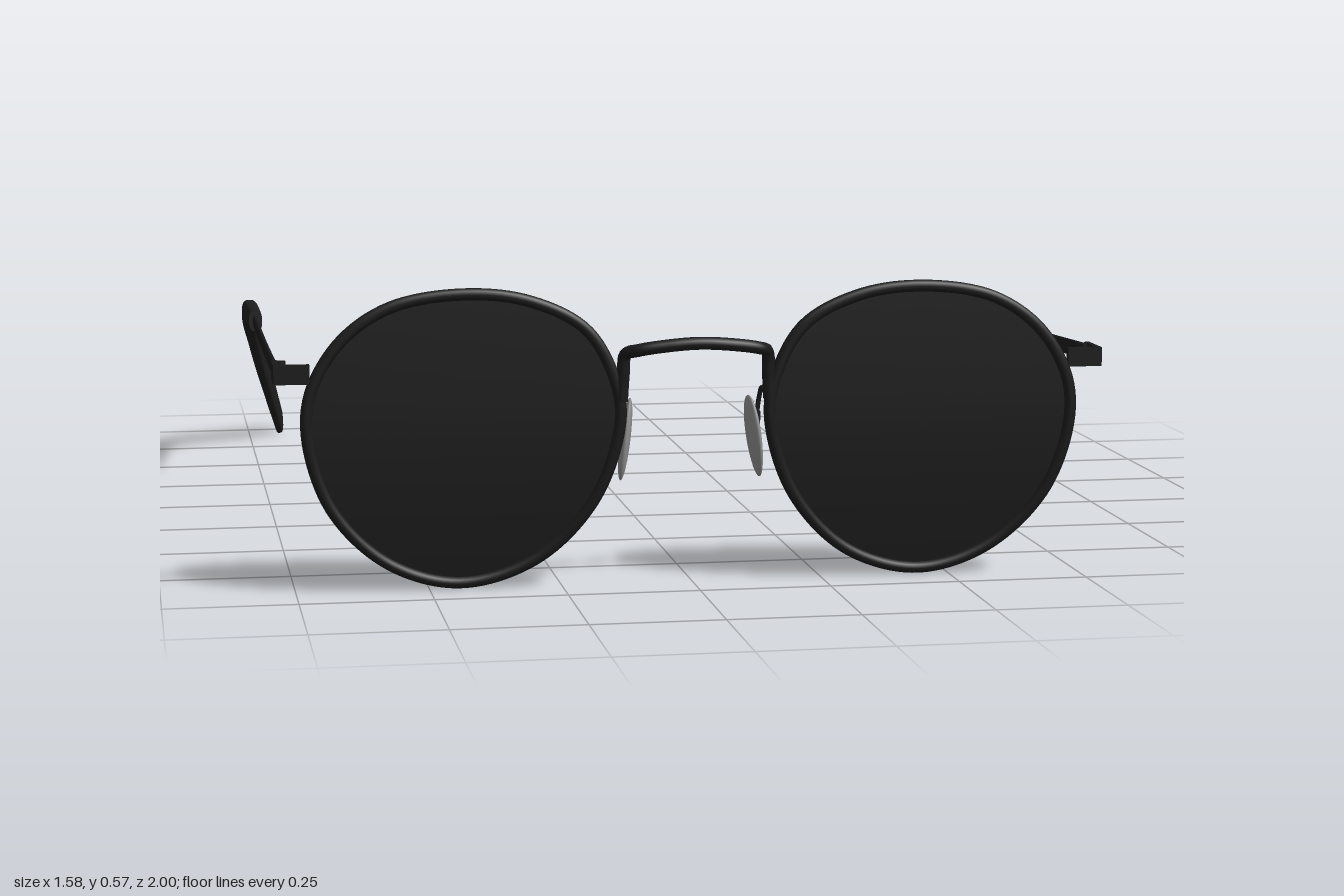
import * as THREE from 'three';

const frameMat = new THREE.MeshStandardMaterial({ color: 0x1a1a1a });
frameMat.name = 'frame black';
const lensMat = new THREE.MeshStandardMaterial({ color: 0x1c1c1c, side: THREE.DoubleSide });
lensMat.name = 'lens smoke';
const tipMat = new THREE.MeshStandardMaterial({ color: 0x1e1e1e });
tipMat.name = 'tip black';
const padMat = new THREE.MeshStandardMaterial({ color: 0x8c8c8c });
padMat.name = 'pad grey';

const V = (x, y, z) => new THREE.Vector3(x, y, z);

// Depth of the lens surface: upright at the top, curling back below
const lensZ = (y) => 0.943 - 0.035 * (y < 0.36 ? ((0.36 - y) / 0.35) ** 2 : ((y - 0.36) / 0.6) ** 2 * 0.6);

// Centre line of the rim, left lens
const rimCurve = new THREE.CatmullRomCurve3([
  [0.44, 0.566], [0.575, 0.543], [0.665, 0.482], [0.72, 0.39], [0.727, 0.3], [0.682, 0.165], [0.575, 0.058],
  [0.44, 0.018], [0.297, 0.062], [0.19, 0.175], [0.143, 0.32], [0.153, 0.4], [0.207, 0.496], [0.313, 0.551],
].map(([x, y]) => V(x, y, lensZ(y))), true);

// Lens: rings shrunk towards the centre, laid on the curved surface
function lensGeometry() {
  const rings = 12, n = 80, cx = 0.44, cy = 0.3, pos = [], idx = [];
  const outline = rimCurve.getSpacedPoints(n);
  for (let r = 0; r <= rings; r++) {
    for (let j = 0; j < n; j++) {
      const k = r / rings;
      const y = cy + (outline[j].y - cy) * k;
      pos.push(cx + (outline[j].x - cx) * k, y, lensZ(y));
      if (r === rings) continue;
      const a = r * n + j, b = r * n + (j + 1) % n;
      if (r > 0) idx.push(a, b, a + n);
      idx.push(b, b + n, a + n);
    }
  }
  // The outline runs clockwise, so flip every face to the front
  for (let i = 0; i < idx.length; i += 3) [idx[i + 1], idx[i + 2]] = [idx[i + 2], idx[i + 1]];
  const geo = new THREE.BufferGeometry();
  geo.setAttribute('position', new THREE.Float32BufferAttribute(pos, 3));
  geo.setIndex(idx);
  geo.computeVertexNormals();
  return geo;
}

// Sweep a rounded section along stations [x, y, z, width, height] running backwards
function sweep(stations, steps) {
  const n = 24, pos = [], idx = [];
  const path = new THREE.CatmullRomCurve3(stations.map((s) => V(s[0], s[1], s[2])));
  const size = new THREE.CatmullRomCurve3(stations.map((s) => V(s[3], s[4], 0)));
  const round = (c) => Math.sign(c) * Math.abs(c) ** 0.65;
  const ringAt = (t) => {
    const p = path.getPoint(t), d = path.getTangent(t), wh = size.getPoint(t);
    const side = V(1, 0, 0).addScaledVector(d, -d.x).normalize();
    const up = side.clone().cross(d);
    for (let j = 0; j < n; j++) {
      const a = (j / n) * Math.PI * 2;
      const q = p.clone().addScaledVector(side, round(Math.cos(a)) * wh.x / 2)
        .addScaledVector(up, round(Math.sin(a)) * wh.y / 2);
      pos.push(q.x, q.y, q.z);
    }
    return p;
  };
  for (let i = 0; i <= steps; i++) {
    ringAt(i / steps);
    if (i === steps) break;
    for (let j = 0; j < n; j++) {
      const a = i * n + j, b = i * n + (j + 1) % n;
      idx.push(a, a + n, b, b, a + n, b + n);
    }
  }
  // End caps with their own vertices
  for (const t of [0, 1]) {
    const base = pos.length / 3;
    const c = ringAt(t);
    pos.push(c.x, c.y, c.z);
    for (let j = 0; j < n; j++) {
      const a = base + j, b = base + (j + 1) % n;
      idx.push(base + n, t ? b : a, t ? a : b);
    }
  }
  const geo = new THREE.BufferGeometry();
  geo.setAttribute('position', new THREE.Float32BufferAttribute(pos, 3));
  geo.setIndex(idx);
  geo.computeVertexNormals();
  return geo;
}

// Mirror a geometry across x, keeping its faces outward
function mirrored(geo) {
  const g = geo.clone().scale(-1, 1, 1), ix = g.index.array;
  for (let i = 0; i < ix.length; i += 3) [ix[i + 1], ix[i + 2]] = [ix[i + 2], ix[i + 1]];
  return g;
}

export function createModel() {
  const model = new THREE.Group();
  model.name = 'sunglasses';
  const add = (name, geo, mat) => {
    const mesh = new THREE.Mesh(geo, mat);
    mesh.name = name;
    model.add(mesh);
  };
  const pair = (name, geo, mat) => {
    add('left' + name, geo, mat);
    add('right' + name, mirrored(geo), mat);
  };
  const box = (w, h, d, x, y, z) => new THREE.BoxGeometry(w, h, d).translate(x, y, z);

  // Lenses and rims
  pair('Lens', lensGeometry(), lensMat);
  pair('Rim', new THREE.TubeGeometry(rimCurve, 120, 0.0115, 10, true), frameMat);

  // Bridge, bowed up and forward, with legs running down the rims
  const half = [[0.141, 0.36, 0.945], [0.138, 0.41, 0.947], [0.135, 0.449, 0.953], [0.115, 0.459, 0.974], [0.06, 0.468, 0.985]];
  const bridge = new THREE.CatmullRomCurve3([
    ...half.map(([x, y, z]) => V(-x, y, z)), V(0, 0.472, 0.988), ...half.reverse().map(([x, y, z]) => V(x, y, z)),
  ]);
  add('bridge', new THREE.TubeGeometry(bridge, 80, 0.012, 10), frameMat);

  // End pieces and hinges
  pair('EndPiece', box(0.066, 0.036, 0.014, 0.755, 0.424, 0.943), frameMat);
  pair('HingeArm', box(0.01, 0.036, 0.08, 0.783, 0.424, 0.91), frameMat);
  pair('HingeKnuckle', new THREE.CylinderGeometry(0.011, 0.011, 0.034, 16).translate(0.772, 0.424, 0.88), frameMat);

  // Flat metal temples
  pair('Temple', sweep([
    [0.781, 0.424, 0.89, 0.009, 0.032], [0.776, 0.404, 0.4, 0.009, 0.028], [0.769, 0.385, -0.16, 0.009, 0.026],
  ], 12), frameMat);

  // Curved temple tips
  pair('TempleTip', sweep([
    [0.768, 0.387, -0.135, 0.028, 0.045], [0.768, 0.381, -0.3, 0.032, 0.05], [0.765, 0.361, -0.5, 0.032, 0.055],
    [0.761, 0.337, -0.61, 0.031, 0.062], [0.752, 0.305, -0.69, 0.03, 0.075], [0.728, 0.215, -0.79, 0.028, 0.088],
    [0.7, 0.118, -0.885, 0.025, 0.086], [0.676, 0.034, -0.97, 0.02, 0.078],
  ], 48), tipMat);

  // Nose pads: egg-shaped, narrower at the bottom
  const pad = new THREE.SphereGeometry(1, 24, 18);
  const p = pad.attributes.position;
  for (let i = 0; i < p.count; i++) p.setZ(i, p.getZ(i) * (1 + 0.15 * p.getY(i)));
  pad.scale(0.01, 0.079, 0.035).rotateX(-0.06).rotateY(0.15).rotateZ(0.12).translate(0.124, 0.278, 0.884);
  pair('NosePad', pad, padMat);

  // Looped wire and mount holding each pad
  const wire = new THREE.CatmullRomCurve3([
    V(0.145, 0.325, 0.935), V(0.144, 0.335, 0.92), V(0.14, 0.365, 0.912), V(0.136, 0.374, 0.9),
    V(0.133, 0.355, 0.89), V(0.128, 0.315, 0.888),
  ]);
  pair('PadWire', new THREE.TubeGeometry(wire, 30, 0.0045, 8), frameMat);
  pair('PadMount', box(0.012, 0.024, 0.016, 0.128, 0.315, 0.888), frameMat);

  return model;
}
